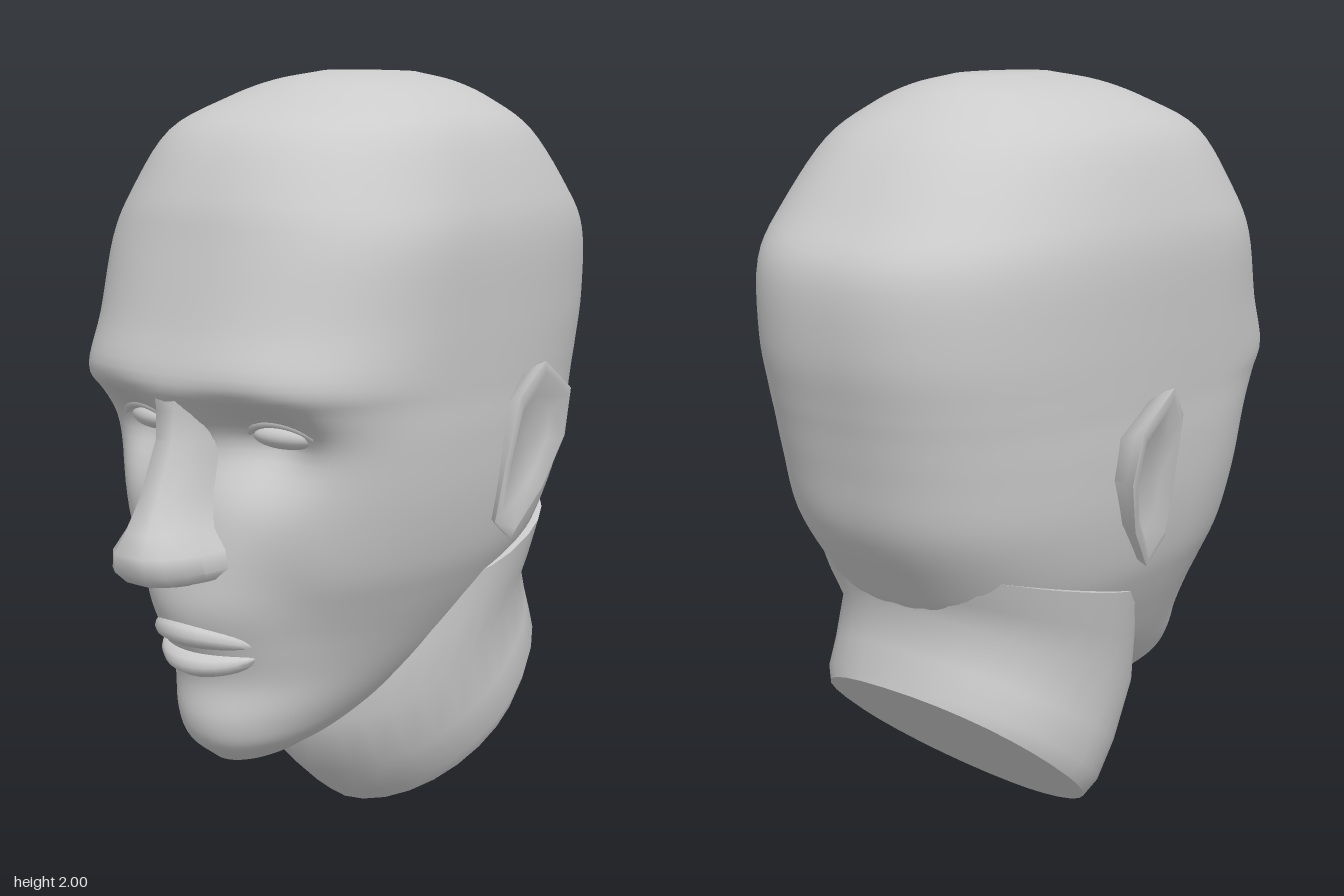
import * as THREE from 'three';
import { toCreasedNormals } from 'three/addons/utils/BufferGeometryUtils.js';

const material = new THREE.MeshStandardMaterial({ color: 0xcccccc });

// Skin closed rings of [x, y, z] points, cap both ends, and face outward.
function loft(rings, crease = 0.8) {
  const n = rings[0].length, last = (rings.length - 1) * n;
  const center = ring => [0, 1, 2].map(k => ring.reduce((s, p) => s + p[k] / n, 0));
  const pos = [...rings.flat(), center(rings[0]), center(rings.at(-1))];
  const index = [];
  for (let i = 0; i < n; i++) {
    const next = (i + 1) % n;
    for (let r = 0; r < last; r += n) {
      const a = r + i, b = r + next;
      index.push(a, b, b + n, a, b + n, a + n);
    }
    index.push(last + n, next, i, last + n + 1, last + i, last + next);
  }
  // signed volume decides the winding
  let volume = 0;
  const [a, b, c] = [new THREE.Vector3(), new THREE.Vector3(), new THREE.Vector3()];
  for (let i = 0; i < index.length; i += 3) {
    a.fromArray(pos[index[i]]); b.fromArray(pos[index[i + 1]]); c.fromArray(pos[index[i + 2]]);
    volume += a.dot(b.cross(c));
  }
  if (volume < 0) index.reverse();
  const geo = new THREE.BufferGeometry();
  geo.setAttribute('position', new THREE.Float32BufferAttribute(pos.flat(), 3));
  geo.setIndex(index);
  return toCreasedNormals(geo, crease);
}

const power = (v, n) => Math.sign(v) * Math.abs(v) ** (2 / n);
const bell = (d, w) => Math.exp(-((d / w) ** 2));

// Skull and jaw levels: y, front z, back z, half width, z of widest point, front and back squareness
const levels = [
  [2.0, 0.04, -0.28, 0.09, -0.1, 2, 2],
  [1.975, 0.18, -0.38, 0.2, -0.08, 2.1, 2.1],
  [1.93, 0.3, -0.47, 0.3, -0.05, 2.2, 2.2],
  [1.85, 0.46, -0.585, 0.395, 0, 2.3, 2.4],
  [1.7, 0.555, -0.71, 0.46, 0.05, 2.4, 2.6],
  [1.58, 0.595, -0.792, 0.487, 0.1, 2.5, 2.65],
  [1.4, 0.647, -0.8, 0.487, 0.1, 2.6, 2.65],
  [1.27, 0.69, -0.778, 0.483, 0.1, 2.8, 2.62],
  [1.2, 0.66, -0.763, 0.48, 0.1, 2.7, 2.6],
  [1.1, 0.61, -0.743, 0.478, 0.1, 2.6, 2.56],
  [0.95, 0.615, -0.708, 0.465, 0.08, 2.35, 2.5],
  [0.8, 0.635, -0.615, 0.435, 0.05, 2.15, 2.45],
  [0.7, 0.64, -0.54, 0.395, 0.05, 2, 2.4],
  [0.6, 0.598, -0.43, 0.345, 0.07, 2, 2.3],
  [0.5, 0.57, -0.25, 0.29, 0.12, 2, 2.2],
  [0.4, 0.578, -0.05, 0.225, 0.2, 2.1, 2],
  [0.33, 0.555, 0.1, 0.165, 0.28, 2.2, 2],
  [0.272, 0.49, 0.2, 0.085, 0.33, 2.2, 2],
];

function headGeometry() {
  const spline = (i, j, k) => new THREE.CatmullRomCurve3(
    levels.map(l => new THREE.Vector3(l[i], l[j], l[k])), false, 'catmullrom', 0.5);
  const curves = [spline(0, 1, 2), spline(3, 4, 5), spline(6, 6, 6)];
  const rows = (levels.length - 1) * 5, around = 128;
  const rings = [];
  for (let r = 0; r <= rows; r++) {
    const [p, q, s] = curves.map(c => c.getPoint(r / rows));
    const ring = [];
    for (let i = 0; i < around; i++) {
      const t = i / around * Math.PI * 2, front = Math.sin(t) > 0;
      const n = front ? q.z : s.x;
      const x = q.x * power(Math.cos(t), n);
      let z = q.y + (front ? p.y - q.y : q.y - p.z) * power(Math.sin(t), n);
      // eye sockets under the brow, hollow cheeks, and a slight swell behind the lips
      if (z > 0.2) {
        const side = Math.abs(x), lift = p.x - 1.13;
        z -= 0.115 * bell(side - 0.2, 0.13) * bell(lift, lift > 0 ? 0.085 : 0.12);
        z -= 0.025 * bell(side - 0.24, 0.09) * bell(p.x - 0.72, 0.14);
        z += 0.012 * bell(side, 0.14) * bell(p.x - 0.62, 0.06);
      }
      ring.push([x, p.x, z]);
    }
    rings.push(ring);
  }
  return loft(rings, 1);
}

// Slanted neck rings: front y, z; back y, z; half width. Flush with the skull above, drawn in at the cut.
function neckGeometry() {
  const rows = [
    [0.62, 0.22, 0.86, -0.62, 0.412],
    [0.45, 0.23, 0.79, -0.595, 0.392],
    [0.29, 0.24, 0.72, -0.562, 0.37],
    [0.13, 0.14, 0.62, -0.585, 0.37],
    [0.04, 0.04, 0.55, -0.602, 0.372],
    [0, -0.01, 0.52, -0.61, 0.35],
  ];
  return loft(rows.map(([fy, fz, by, bz, w]) => Array.from({ length: 32 }, (_, i) => {
    const t = i / 32 * Math.PI * 2, n = Math.sin(t) > 0 ? 1.85 : 2.3;
    const u = (1 - power(Math.sin(t), n)) / 2;
    return [w * power(Math.cos(t), n), fy + (by - fy) * u, fz + (bz - fz) * u];
  })), 0.9);
}

// Nose levels: y, half width, front z
function noseGeometry() {
  const rows = [
    [1.26, 0.095, 0.672], [1.2, 0.078, 0.67], [1.13, 0.07, 0.677], [1.0, 0.077, 0.73],
    [0.92, 0.092, 0.775], [0.87, 0.122, 0.803], [0.825, 0.13, 0.8], [0.795, 0.105, 0.77],
    [0.77, 0.05, 0.67],
  ];
  const half = [[0.38, 0], [0.68, 0.03], [0.88, 0.075], [1, 0.12], [1.08, 0.22]];
  return loft(rows.map(([y, w, z]) => [
    ...half.map(([f, d]) => [f * w, y, z - d]),
    ...half.map(([f, d]) => [-f * w, y, z - d]).reverse(),
  ]), 1);
}

// Lip: ellipse sections swept across the mouth, tapering at the corners
function lipGeometry(y, z, height) {
  const rings = [];
  for (let i = 0; i <= 16; i++) {
    const s = Math.cos(i / 16 * Math.PI), k = Math.sqrt(Math.max(0.01, 1 - s * s));
    rings.push(Array.from({ length: 12 }, (_, j) => {
      const t = j / 12 * Math.PI * 2;
      return [0.155 * s, 0.6 + (y - 0.6) * (0.3 + 0.7 * k) + height * k * Math.sin(t),
        z - 0.06 - 0.05 * s * s + 0.06 * k * Math.cos(t)];
    }));
  }
  return loft(rings, 1.2);
}

// Ear: outline in z, y flaring out to the top, with a shallow hollow shell
function earGeometry(side) {
  const outline = [[-0.05, 0.86], [-0.13, 0.8], [-0.23, 0.92], [-0.29, 1.06],
    [-0.28, 1.19], [-0.15, 1.275], [-0.07, 1.19], [-0.055, 1.02]];
  const ring = (scale, out) => outline.map(([z, y]) => {
    const cz = -0.17 + (z + 0.17) * scale, cy = 1.04 + (y - 1.04) * scale;
    const rim = 0.503 + 0.17 * (cy - 1.04) - 0.09 * (cz + 0.17);
    return [side * (rim + out), cy, cz];
  });
  return loft([ring(0.78, -0.08), ring(0.95, -0.025), ring(1, 0), ring(0.88, 0.006), ring(0.6, -0.02)], 1.2);
}

export function createModel() {
  const model = new THREE.Group();
  const add = (name, geometry) => {
    const mesh = new THREE.Mesh(geometry, material);
    mesh.name = name;
    model.add(mesh);
    return mesh;
  };
  add('head', headGeometry());
  add('neck', neckGeometry());
  add('nose', noseGeometry());
  add('upperLip', lipGeometry(0.643, 0.655, 0.04));
  add('lowerLip', lipGeometry(0.557, 0.632, 0.036));
  for (const [side, label] of [[1, 'left'], [-1, 'right']]) {
    add(label + 'Ear', earGeometry(side));
    const eye = add(label + 'Eye', new THREE.SphereGeometry(1, 24, 16));
    eye.scale.set(0.095, 0.034, 0.05);
    eye.position.set(side * 0.22, 1.14, 0.478);
    eye.rotation.y = side * 0.25;
    // upper eyelid arching over the eye
    const arch = new THREE.CatmullRomCurve3([[0.12, 1.135, 0.51], [0.16, 1.167, 0.53],
      [0.22, 1.178, 0.528], [0.28, 1.167, 0.51], [0.325, 1.135, 0.478]]
      .map(([x, y, z]) => new THREE.Vector3(side * x, y, z)));
    add(label + 'Eyelid', new THREE.TubeGeometry(arch, 20, 0.014, 8));
  }
  return model;
}
